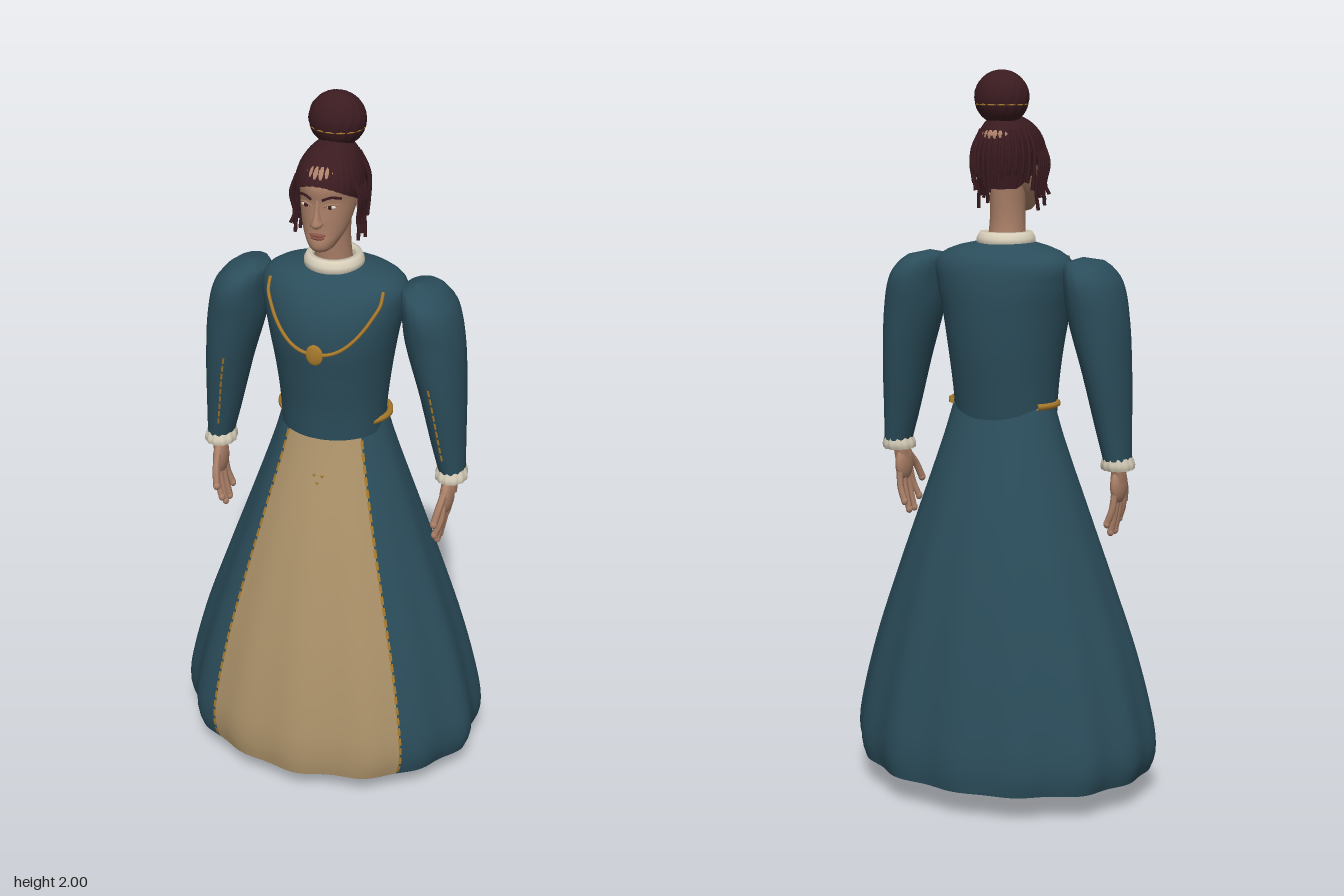
import * as THREE from 'three';

const mat = (name, color) => Object.assign(new THREE.MeshStandardMaterial({ color, side: THREE.DoubleSide }), { name });

// Smooth value of a ring table [y, centreX, radiusX, frontZ, backZ] at height y
function ringAt(rings, y) {
  let i = 0;
  while (i < rings.length - 2 && y > rings[i + 1][0]) i++;
  const a = rings[i], b = rings[i + 1], h = b[0] - a[0];
  const p = rings[i - 1] || a, n = rings[i + 2] || b;
  const k = Math.min(1, Math.max(0, (y - a[0]) / h)), k2 = k * k, k3 = k2 * k;
  return a.map((_, j) => {
    const m0 = (b[j] - p[j]) / (b[0] - p[0]) * h, m1 = (n[j] - a[j]) / (n[0] - a[0]) * h;
    return (2 * k3 - 3 * k2 + 1) * a[j] + (k3 - 2 * k2 + k) * m0 + (3 * k2 - 2 * k3) * b[j] + (k3 - k2) * m1;
  });
}

// Point on a lofted body; t = 0 is the front, growing towards +x
function onRing(rings, t, y, off = 0, ripple = () => 1) {
  const [, cx, rx, zf, zb] = ringAt(rings, y), f = ripple(t, y);
  return new THREE.Vector3(cx + (rx * f + off) * Math.sin(t), y, (zf + zb) / 2 + ((zf - zb) / 2 * f + off) * Math.cos(t));
}

// Surface from a rule fn(u, v) with u around and v along; closed loops share their seam
function grid(nu, nv, fn, closed = true) {
  const pos = [], idx = [], cols = closed ? nu : nu + 1;
  for (let i = 0; i <= nv; i++) for (let j = 0; j < cols; j++) pos.push(...fn(j / nu, i / nv).toArray());
  for (let i = 0; i < nv; i++) for (let j = 0; j < nu; j++) {
    const a = i * cols + j, b = i * cols + (j + 1) % cols, c = a + cols, d = b + cols;
    idx.push(a, b, c, b, d, c);
  }
  const g = new THREE.BufferGeometry();
  g.setAttribute('position', new THREE.Float32BufferAttribute(pos, 3));
  g.setIndex(idx);
  g.computeVertexNormals();
  return g;
}

const TAU = Math.PI * 2, lerp = THREE.MathUtils.lerp;
const V = (x, y, z) => new THREE.Vector3(x, y, z);

function loft(rings, nu = 40, nv = 32, ripple, t0 = 0, t1 = TAU) {
  const y0 = rings[0][0], y1 = rings[rings.length - 1][0];
  return grid(nu, nv, (u, v) => onRing(rings, lerp(t0, t1, u), lerp(y0, y1, v), 0, ripple), t1 - t0 > 6.28);
}

const tube = (pts, r, n = 12) => new THREE.TubeGeometry(new THREE.CatmullRomCurve3(pts), n, r, 6);

export function createModel() {
  const root = new THREE.Group();
  const teal = mat('teal cloth', 0x2b4d5b), tan = mat('tan cloth', 0xab9169), gold = mat('gold trim', 0xa87a2c);
  const cream = mat('cream linen', 0xd9d0bb), skin = mat('skin', 0xab8068), hair = mat('dark hair', 0x3a1b20);
  const leather = mat('maroon leather', 0x54192d), lip = mat('lips', 0x8a5247);
  const add = (name, geo, m, parent = root) => {
    const mesh = new THREE.Mesh(geo, m);
    mesh.name = name;
    parent.add(mesh);
    return mesh;
  };
  const blob = (name, m, p, s, parent) => {
    const b = add(name, new THREE.SphereGeometry(1, 20, 14), m, parent);
    b.position.set(...p);
    b.scale.set(...s);
    return b;
  };

  // Skirt with a tan front panel and soft folds growing towards the hem
  const skirt = [[.075, 0, .418, .332, -.332], [.12, 0, .434, .338, -.337], [.2, 0, .43, .335, -.333], [.4, 0, .381, .3, -.302],
    [.6, 0, .314, .252, -.262], [.8, 0, .243, .195, -.21], [1, 0, .174, .127, -.145], [1.11, 0, .143, .09, -.105]];
  const folds = (t, y) => 1 + .015 * (1.1 - y) * (Math.cos(14 * t) + .6 * Math.cos(9 * t + 1));
  const edge = .71;
  add('skirt', loft(skirt, 120, 40, folds, edge, TAU - edge), teal);
  add('skirtFrontPanel', loft(skirt, 40, 40, folds, -edge, edge), tan);
  add('skirtUnderside', grid(120, 3, (u, v) => {
    const p = onRing(skirt, u * TAU, .075, 0, folds);
    return V(p.x * v, .075, p.z * v);
  }), teal);
  for (const s of [-1, 1]) for (let i = 0; i < 30; i++) {
    const y0 = .085 + i * .0325;
    add('panelStitch', grid(1, 3, (u, v) => {
      const y = y0 + v * .024;
      return onRing(skirt, s * edge + (u - .5) * .009 / ringAt(skirt, y)[2], y, .003, folds);
    }, false), gold);
  }
  for (const [x, y] of [[-.012, .955], [.012, .955], [0, .935]]) {
    const p = onRing(skirt, x / .2, y, .001, folds);
    blob('panelBead', gold, p.toArray(), [.004, .004, .003]);
  }

  // Bodice and collar
  const bodice = [[1.065, 0, .143, .134, -.122], [1.15, 0, .149, .14, -.134], [1.25, 0, .161, .154, -.148], [1.35, 0, .178, .166, -.155],
    [1.43, 0, .194, .155, -.155], [1.49, 0, .195, .126, -.142], [1.522, 0, .15, .098, -.112], [1.54, 0, .075, .07, -.068]];
  add('bodice', loft(bodice, 56, 40), teal);
  const collar = [[.07, 1.525], [.081, 1.535], [.08, 1.55], [.072, 1.566], [.06, 1.568], [.054, 1.555], [.052, 1.53]];
  add('collar', new THREE.LatheGeometry(collar.map(p => new THREE.Vector2(...p)), 36), cream).position.z = .004;

  // Necklace lying on the bodice
  const chain = [];
  for (let i = -12; i <= 12; i++) {
    const s = i / 12;
    chain.push(onRing(bodice, s * .95, 1.338 + .16 * Math.abs(s) ** 2.5, .003));
  }
  add('necklaceChain', tube(chain, .005, 60), gold);
  blob('pendant', gold, [0, 1.336, .168], [.024, .03, .007]);

  for (const s of [-1, 1]) {
    const side = new THREE.Group();
    side.name = s > 0 ? 'leftSide' : 'rightSide';
    root.add(side);

    // Belt piece on the hip
    const belt = [];
    for (let i = 0; i <= 10; i++) belt.push(onRing(skirt, s * (.85 + i * .13), 1.1, .008));
    add('belt', tube(belt, .009, 20), gold, side);

    // Puffed sleeve with front piping, cuff
    const sleeve = [[.965, .338, .037, .048, -.05], [1.05, .326, .047, .062, -.064], [1.2, .306, .063, .085, -.09], [1.35, .28, .079, .1, -.108],
      [1.44, .264, .073, .105, -.113], [1.485, .246, .056, .084, -.09], [1.502, .236, .034, .05, -.055], [1.507, .232, .001, .001, -.003]]
      .map(([y, cx, ...r]) => [y, s * cx, ...r]);
    add('sleeve', loft(sleeve, 40, 44, (t, y) => 1 + .012 * Math.cos(14 * t) * Math.max(0, (y - 1.3) * 5)), teal, side);
    for (let i = 0; i < 9; i++) {
      const y = 1.015 + i * .026;
      add('sleevePiping', tube([onRing(sleeve, -s * .15, y, .001), onRing(sleeve, -s * .15, y + .019, .001)], .003, 2), gold, side);
    }
    const cuff = [[.938, s * .338, .043, .052, -.045], [.95, s * .338, .044, .054, -.05], [.972, s * .338, .037, .047, -.049]];
    add('cuff', loft(cuff, 48, 6, t => 1 + .04 * Math.cos(12 * t)), cream, side);

    // Hand
    const hand = new THREE.Group();
    hand.name = 'hand';
    side.add(hand);
    add('wrist', tube([V(s * .338, .98, .004), V(s * .337, .93, .01), V(s * .335, .9, .015)], .023), skin, hand);
    blob('palm', skin, [s * .333, .89, .022], [.019, .052, .042], hand);
    const tips = [[.053, .072, .785], [.034, .043, .757], [.013, .013, .757], [-.006, -.014, .785]];
    for (const [z0, z1, y] of tips) {
      add('finger', tube([V(s * .333, .875, z0), V(s * .328, .825, lerp(z0, z1, .6)), V(s * .314, y, z1)], .0095), skin, hand);
      blob('fingertip', skin, [s * .314, y, z1], [.0095, .012, .0095], hand);
    }
    add('thumb', tube([V(s * .333, .915, .045), V(s * .326, .875, .08), V(s * .318, .835, .098)], .0105), skin, hand);
    blob('thumbTip', skin, [s * .318, .835, .098], [.0105, .012, .0105], hand);

    // Shoe, toe to heel: [z, half width, bottom, top]
    const last = [[.216, .001, .018, .022], [.205, .016, .011, .032], [.16, .035, .01, .045], [.1, .044, .01, .062], [.04, .04, .016, .085],
      [-.03, .034, .032, .1], [-.07, .03, .034, .1], [-.086, .001, .05, .09]];
    add('shoe', grid(24, last.length - 1, (u, v) => {
      const [z, w, lo, hi] = last[Math.round(v * (last.length - 1))], t = u * TAU;
      return V(s * .105 + w * Math.sin(t), (lo + hi) / 2 + (hi - lo) / 2 * Math.cos(t), z);
    }), leather, side);
    add('shoeHeel', new THREE.CylinderGeometry(.027, .022, .045, 16), leather, side).position.set(s * .105, .0225, -.05);

    // Eye, brow and ear
    blob('eye', cream, [s * .032, 1.745, .127], [.015, .006, .008], side);
    blob('iris', hair, [s * .032, 1.745, .132], [.006, .006, .005], side);
    add('upperLid', tube([V(s * .015, 1.746, .138), V(s * .032, 1.754, .136), V(s * .05, 1.747, .118)], .003), skin, side);
    add('brow', tube([V(s * .014, 1.766, .144), V(s * .034, 1.773, .136), V(s * .056, 1.766, .114)], .0035), hair, side);
    blob('ear', skin, [s * .076, 1.725, .02], [.01, .03, .018], side);

    // Loose locks beside the face
    for (let i = 0; i < 6; i++) {
      const z = .015 + i * .012, y = 1.625 + .045 * Math.abs(Math.sin(i * 2.3));
      add('sideLock', tube([V(s * .078, 1.8, z), V(s * .093, 1.75, z + .004), V(s * .086, 1.69, z - .004), V(s * (.09 + .007 * Math.sin(i * 3)), y, z + .003)], .0048), hair, side);
    }
  }

  // Neck and head
  add('neck', loft([[1.5, 0, .056, .06, -.055], [1.58, 0, .048, .066, -.042], [1.64, 0, .046, .072, -.044], [1.74, 0, .05, .07, -.055]], 28, 14), skin);
  const head = [[1.612, 0, .002, .118, .108], [1.62, 0, .026, .138, .07], [1.64, 0, .042, .146, .035], [1.67, 0, .058, .142, 0], [1.71, 0, .068, .142, -.04],
    [1.75, 0, .073, .141, -.065], [1.8, 0, .075, .145, -.08], [1.845, 0, .06, .115, -.07], [1.87, 0, .002, .03, .02]];
  add('head', loft(head, 40, 40), skin);
  add('nose', loft([[1.686, 0, .004, .148, .12], [1.696, 0, .017, .164, .115], [1.71, 0, .012, .161, .115], [1.735, 0, .008, .151, .115], [1.765, 0, .007, .143, .115]], 16, 14), skin);
  blob('upperLip', lip, [0, 1.668, .14], [.022, .005, .009]);
  blob('lowerLip', lip, [0, 1.66, .139], [.019, .006, .009]);

  // Swept-up hair with a hem low at the nape and high on the brow
  add('hair', grid(96, 20, (u, v) => {
    const t = u * TAU, c = Math.cos(t);
    const hem = c > 0 ? lerp(1.735, 1.803, c ** 1.2) : lerp(1.735, 1.685, Math.min(1, -c * 1.5));
    const y = lerp(hem, 1.885, Math.sin(v * Math.PI / 2));
    const s = y > 1.775 ? Math.sqrt(Math.max(0, 1 - ((y - 1.775) / .11) ** 2)) : 1 - (1.775 - y) * 1.8;
    const r = s * (1 + .018 * Math.cos(32 * t));
    return V(.088 * r * Math.sin(t), y, lerp(-.015, .032, s) + .122 * r * c);
  }), hair);
  for (let i = 0; i < 15; i++) {
    const a = Math.PI + (i - 7) * .19, x = Math.sin(a), z = Math.cos(a), end = 1.675 + .05 * Math.abs(Math.sin(i * 2.7));
    add('backWisp', tube([V(.07 * x, 1.84, .02 + .09 * z), V(.092 * x, 1.79, .02 + .115 * z), V(.094 * x, 1.74, .02 + .122 * z), V(.088 * x, end, .018 + .115 * z)], .0055), hair);
  }

  // Bun with twisted ridges and a thin gold band
  const bun = new THREE.SphereGeometry(1, 64, 32), bp = bun.attributes.position;
  for (let i = 0; i < bp.count; i++) {
    const p = V(0, 0, 0).fromBufferAttribute(bp, i);
    p.multiplyScalar(1 + .018 * Math.hypot(p.x, p.z) * Math.sin(16 * Math.atan2(p.z, p.x) + 7 * p.y));
    bp.setXYZ(i, p.x, p.y, p.z);
  }
  bun.computeVertexNormals();
  const bunMesh = add('bun', bun, hair);
  bunMesh.position.set(0, 1.926, -.022);
  bunMesh.scale.set(.075, .073, .065);
  const band = add('bunBand', new THREE.TorusGeometry(.071, .0025, 6, 48), gold);
  band.position.set(0, 1.908, -.022);
  band.rotation.x = Math.PI / 2;
  band.scale.y = .87;
  return root;
}
